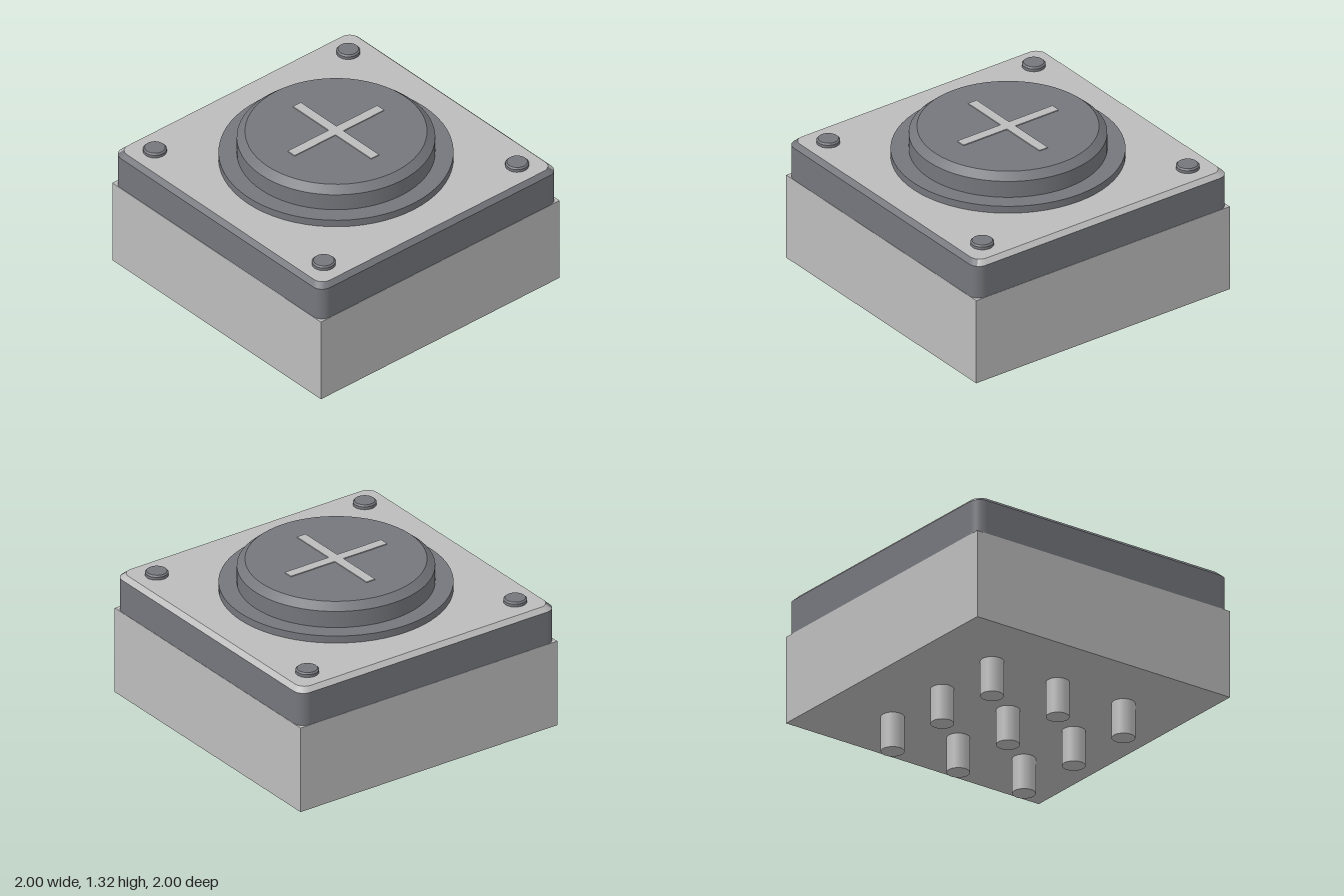
import * as THREE from 'three';

const light = new THREE.MeshStandardMaterial({ color: 0xbcbcbc });
light.name = 'lightGrey';
const dark = new THREE.MeshStandardMaterial({ color: 0x75767c });
dark.name = 'darkGrey';

const CORNER_STEPS = 8;

// Rounded square outline, running from +z towards +x and round
function outline(half, radius) {
  const points = [];
  for (let c = 0; c < 4; c++) {
    for (let i = 0; i <= CORNER_STEPS; i++) {
      const a = (c + i / CORNER_STEPS) * Math.PI / 2;
      const mid = (c + 0.5) * Math.PI / 2;
      const centre = (half - radius) * Math.SQRT2;
      points.push([
        centre * Math.sin(mid) + radius * Math.sin(a),
        centre * Math.cos(mid) + radius * Math.cos(a),
        Math.sin(a), Math.cos(a),
      ]);
    }
  }
  return points;
}

// Band of quads between two outlines; pick(nx, nz) gives the material index
function band(lower, y0, upper, y1, slope, pick) {
  const position = [], normal = [], index = [[], []];
  const n = lower.length;
  const len = Math.hypot(1, slope);
  for (let i = 0; i < n; i++) {
    const a = lower[i], b = upper[i], nx = a[2] / len, nz = a[3] / len;
    position.push(a[0], y0, a[1], b[0], y1, b[1]);
    normal.push(nx, slope / len, nz, nx, slope / len, nz);
    const j = (i + 1) % n;
    const p = 2 * i, q = 2 * j;
    index[pick(a[2] + lower[j][2], a[3] + lower[j][3])].push(p, q, q + 1, p, q + 1, p + 1);
  }
  const g = new THREE.BufferGeometry();
  g.setAttribute('position', new THREE.Float32BufferAttribute(position, 3));
  g.setAttribute('normal', new THREE.Float32BufferAttribute(normal, 3));
  g.setIndex([...index[0], ...index[1]]);
  g.addGroup(0, index[0].length, 0);
  g.addGroup(index[0].length, index[1].length, 1);
  return g;
}

// Turned part with sharp edges: each profile segment keeps its own normals
function turned(name, profile, segments, material) {
  const group = new THREE.Group();
  group.name = name;
  for (let i = 0; i < profile.length - 1; i++) {
    const pair = [profile[i], profile[i + 1]].map(([r, y]) => new THREE.Vector2(r, y));
    const mesh = new THREE.Mesh(new THREE.LatheGeometry(pair, segments), material);
    mesh.name = name + 'Surface';
    group.add(mesh);
  }
  return group;
}

export function createModel() {
  const model = new THREE.Group();
  model.name = 'pushButtonModule';

  const add = (name, geometry, material, x, y, z, parent = model) => {
    const mesh = new THREE.Mesh(geometry, material);
    mesh.name = name;
    mesh.position.set(x, y, z);
    parent.add(mesh);
    return mesh;
  };

  // Square base
  add('base', new THREE.BoxGeometry(2, 0.6, 2), light, 0, 0.54, 0);

  // Three by three pins underneath
  const pins = new THREE.Group();
  pins.name = 'pins';
  model.add(pins);
  const pinGeometry = new THREE.CylinderGeometry(0.075, 0.075, 0.24, 32);
  for (const x of [-0.52, 0, 0.52]) {
    for (const z of [-0.52, 0, 0.52]) add('pin', pinGeometry, light, x, 0.12, z, pins);
  }

  // Rounded upper housing: walls, chamfer in two tones, light top plate
  const outer = outline(0.998, 0.075);
  const inner = outline(0.968, 0.07);
  add('housingWall', band(outer, 0.84, outer, 1.07, 0, () => 0), [dark, dark], 0, 0, 0);
  add('housingChamfer', band(outer, 1.07, inner, 1.1, 1, (nx, nz) => (nx + nz < -0.01 ? 1 : 0)),
    [dark, light], 0, 0, 0);
  const plateShape = new THREE.Shape(inner.map(([x, z]) => new THREE.Vector2(x, -z)));
  add('topPlate', new THREE.ShapeGeometry(plateShape).rotateX(-Math.PI / 2), light, 0, 1.1, 0);

  // Corner screws with a small chamfer
  for (const x of [-0.81, 0.81]) {
    for (const z of [-0.81, 0.81]) {
      const screw = turned('screw', [[0.075, 1.1], [0.075, 1.12], [0.065, 1.13], [0, 1.13]], 32, dark);
      screw.position.set(x, 0, z);
      model.add(screw);
    }
  }

  // Flange and button cap
  model.add(turned('flange', [[0.742, 1.1], [0.742, 1.15], [0, 1.15]], 64, dark));
  model.add(turned('buttonCap', [[0.627, 1.15], [0.627, 1.265], [0.575, 1.31], [0, 1.31]], 64, dark));

  // Raised cross on the cap
  add('crossBarAcross', new THREE.BoxGeometry(0.75, 0.008, 0.066), light, 0, 1.312, 0);
  for (const s of [-1, 1]) {
    add('crossBarAlong', new THREE.BoxGeometry(0.066, 0.008, 0.342), light, 0, 1.312, s * 0.204);
  }

  return model;
}
